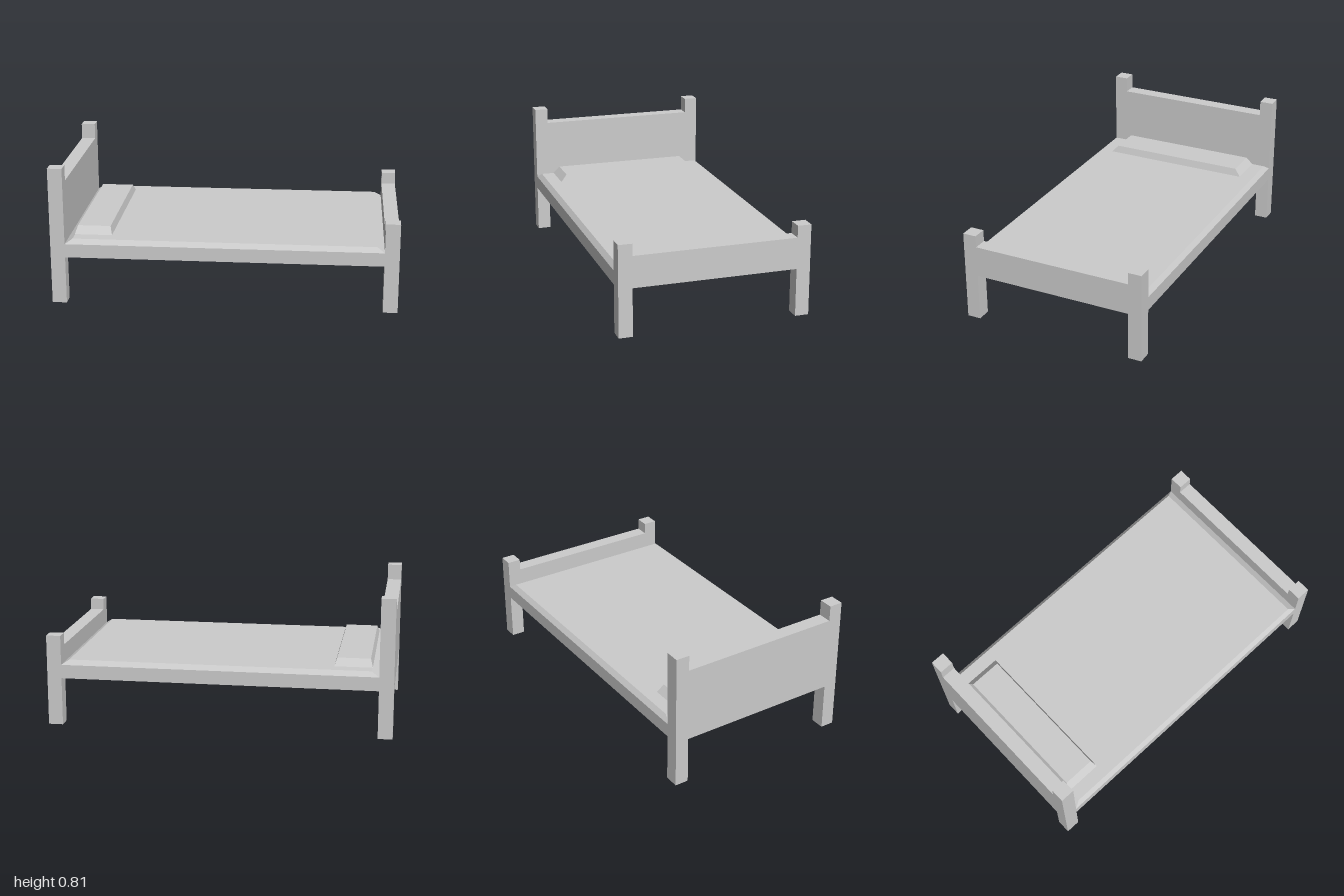
import * as THREE from 'three';

const material = new THREE.MeshStandardMaterial({ color: 0xcccccc, flatShading: true });
const HALF_WIDTH = 0.553, POST = 0.08, END_DEPTH = 0.084, RAIL_Y = 0.28;

function addMesh(group, name, geometry) {
  const mesh = new THREE.Mesh(geometry, material);
  mesh.name = name;
  group.add(mesh);
  return mesh;
}

// Bed end: two posts joined by a flush panel, cut from one outline and extruded along x
function bedEnd(postTop, panelTop, x) {
  const outer = HALF_WIDTH, inner = HALF_WIDTH - POST;
  const half = [[inner, RAIL_Y], [inner, 0], [outer, 0], [outer, postTop], [inner, postTop], [inner, panelTop]];
  const mirrored = half.map(([z, y]) => [-z, y]).reverse();
  const shape = new THREE.Shape([...half, ...mirrored].map(([z, y]) => new THREE.Vector2(z, y)));
  return new THREE.ExtrudeGeometry(shape, { depth: END_DEPTH, bevelEnabled: false })
    .rotateY(Math.PI / 2)
    .translate(x, 0, 0);
}

// Box whose top face is drawn in by insetX and insetZ on each side
function taperedBox(width, height, depth, insetX, insetZ) {
  const geometry = new THREE.BoxGeometry(width, height, depth).translate(0, height / 2, 0);
  const p = geometry.attributes.position;
  for (let i = 0; i < p.count; i++) {
    if (p.getY(i) < height / 2) continue;
    p.setX(i, p.getX(i) - Math.sign(p.getX(i)) * insetX);
    p.setZ(i, p.getZ(i) - Math.sign(p.getZ(i)) * insetZ);
  }
  geometry.computeVertexNormals();
  return geometry;
}

export function createModel() {
  const bed = new THREE.Group();
  bed.name = 'bed';
  const length = 2 - 2 * END_DEPTH;

  addMesh(bed, 'headboard', bedEnd(0.81, 0.718, -1));
  addMesh(bed, 'footboard', bedEnd(0.532, 0.463, 1 - END_DEPTH));

  // Solid base slab between the two ends
  addMesh(bed, 'bedFrame', new THREE.BoxGeometry(length, 0.08, HALF_WIDTH * 2))
    .position.y = RAIL_Y + 0.04;

  // Mattress and pillow with sloped sides
  addMesh(bed, 'mattress', taperedBox(length, 0.028, HALF_WIDTH * 2, 0.043, 0.023))
    .position.y = 0.36;
  addMesh(bed, 'pillow', taperedBox(0.218, 0.043, 0.904, 0.013, 0.037))
    .position.set(-0.766, 0.388, 0);

  return bed;
}
